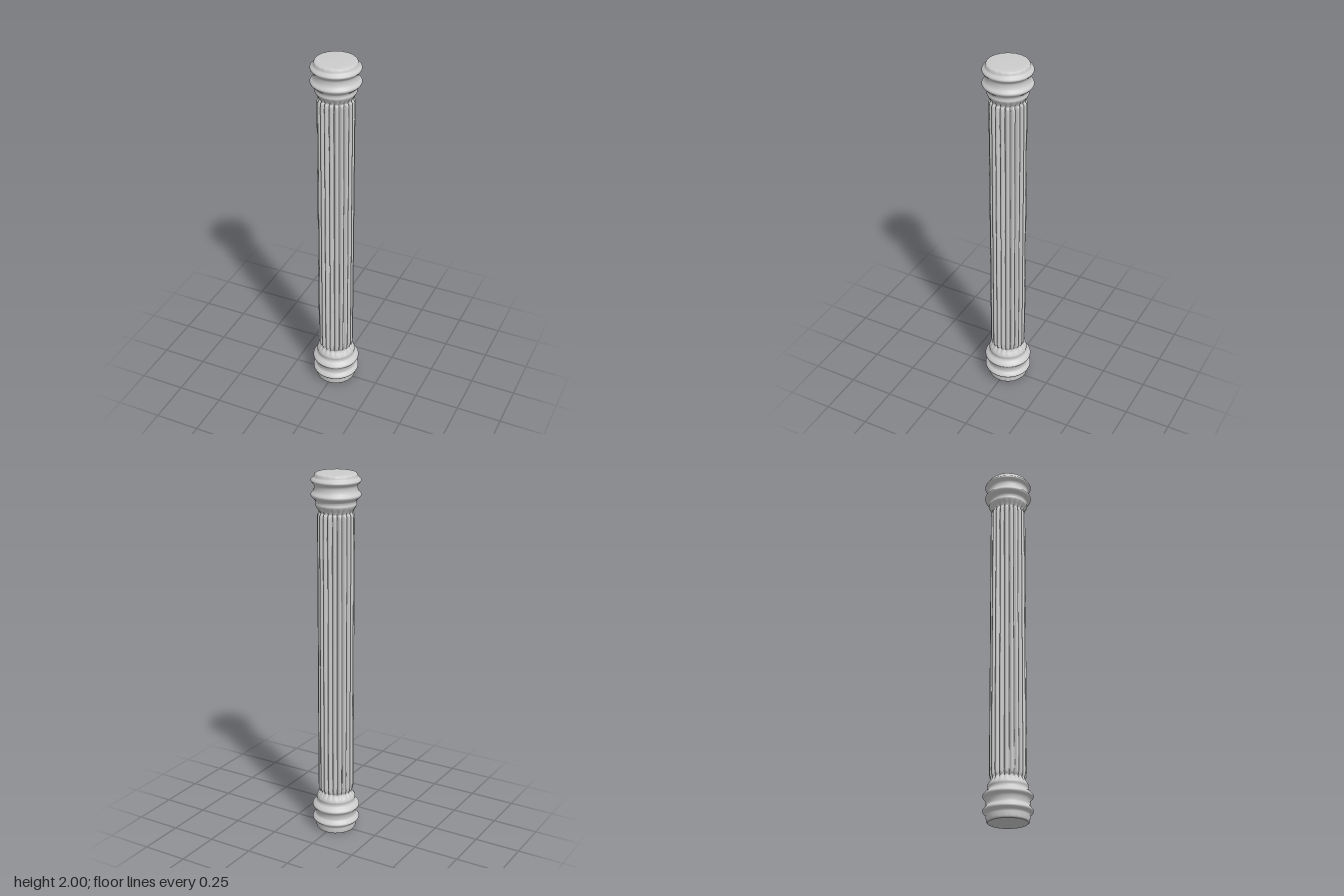
import * as THREE from 'three';
import { mergeVertices } from 'three/addons/utils/BufferGeometryUtils.js';

const RIBS = 20, SEGMENTS = 160;

// Each profile point is [radius, height, groove depth]
const base = [
  [0.104, 0, 0.002], [0.109, 0.006, 0.001], [0.111, 0.022, 0], [0.113, 0.04, 0], [0.127, 0.054, 0],
  [0.129, 0.062, 0], [0.122, 0.073, 0], [0.113, 0.084, 0], [0.112, 0.1, 0], [0.117, 0.118, 0],
  [0.129, 0.133, 0], [0.129, 0.141, 0], [0.12, 0.152, 0], [0.108, 0.163, 0], [0.105, 0.175, 0],
  [0.107, 0.187, 0], [0.103, 0.2, 0.002], [0.092, 0.218, 0.007], [0.089, 0.228, 0.011],
  [0.095, 0.24, 0.015], [0.097, 0.262, 0.016],
];
const capital = [
  [0.097, 1.76, 0.016], [0.095, 1.785, 0.015], [0.089, 1.795, 0.011], [0.092, 1.805, 0.007],
  [0.102, 1.823, 0.002], [0.107, 1.835, 0], [0.105, 1.847, 0], [0.108, 1.859, 0], [0.12, 1.87, 0],
  [0.129, 1.881, 0], [0.129, 1.889, 0], [0.117, 1.904, 0], [0.112, 1.92, 0], [0.113, 1.936, 0],
  [0.122, 1.948, 0], [0.129, 1.957, 0], [0.127, 1.965, 0], [0.114, 1.977, 0], [0.111, 1.986, 0.0005],
  [0.107, 1.994, 0.002], [0.098, 1.997, 0.002],
];

// Smooth a run of profile points
function smooth(points, steps) {
  const curve = new THREE.CatmullRomCurve3(points.map((p) => new THREE.Vector3(...p)), false, 'centripetal');
  return curve.getPoints(steps);
}

// Revolve a profile and press narrow grooves between rounded ribs
function ribbedLathe(profile) {
  const geometry = new THREE.LatheGeometry(profile.map((p) => new THREE.Vector2(p.x, p.y)), SEGMENTS);
  const pos = geometry.attributes.position;
  for (let i = 0; i < pos.count; i++) {
    const point = profile[i % profile.length];
    const angle = Math.floor(i / profile.length) / SEGMENTS * Math.PI * 2;
    const cut = Math.pow(1 - Math.abs(Math.sin(angle * RIBS / 2)), 1.3);
    const scale = point.x > 0 ? 1 - point.z * cut / point.x : 1;
    pos.setXYZ(i, pos.getX(i) * scale, pos.getY(i), pos.getZ(i) * scale);
  }
  // Weld the seam so shading runs smoothly around
  geometry.deleteAttribute('uv');
  geometry.deleteAttribute('normal');
  const welded = mergeVertices(geometry, 1e-5);
  welded.computeVertexNormals();
  return welded;
}

export function createModel() {
  const group = new THREE.Group();
  group.name = 'column';
  const material = new THREE.MeshStandardMaterial({ color: 0xcccccc });
  const add = (name, profile) => {
    const mesh = new THREE.Mesh(ribbedLathe(profile), material);
    mesh.name = name;
    group.add(mesh);
  };
  const v = (...p) => new THREE.Vector3(...p);

  const lower = smooth(base, 80);
  const upper = smooth(capital, 80);

  // Moulded foot, fluted shaft and moulded head in one continuous skin
  add('flutedColumn', [...lower, v(0.097, 0.6, 0.016), v(0.097, 1, 0.016), v(0.097, 1.4, 0.016), ...upper]);

  // Shallow ribbed dome closing the top
  add('topDome', [v(0.098, 1.997, 0.002), v(0.085, 1.9985, 0.002), v(0.05, 1.9995, 0.001), v(0, 2, 0)]);

  // Flat underside
  add('underside', [v(0, 0, 0), v(0.104, 0, 0.002)]);
  return group;
}
